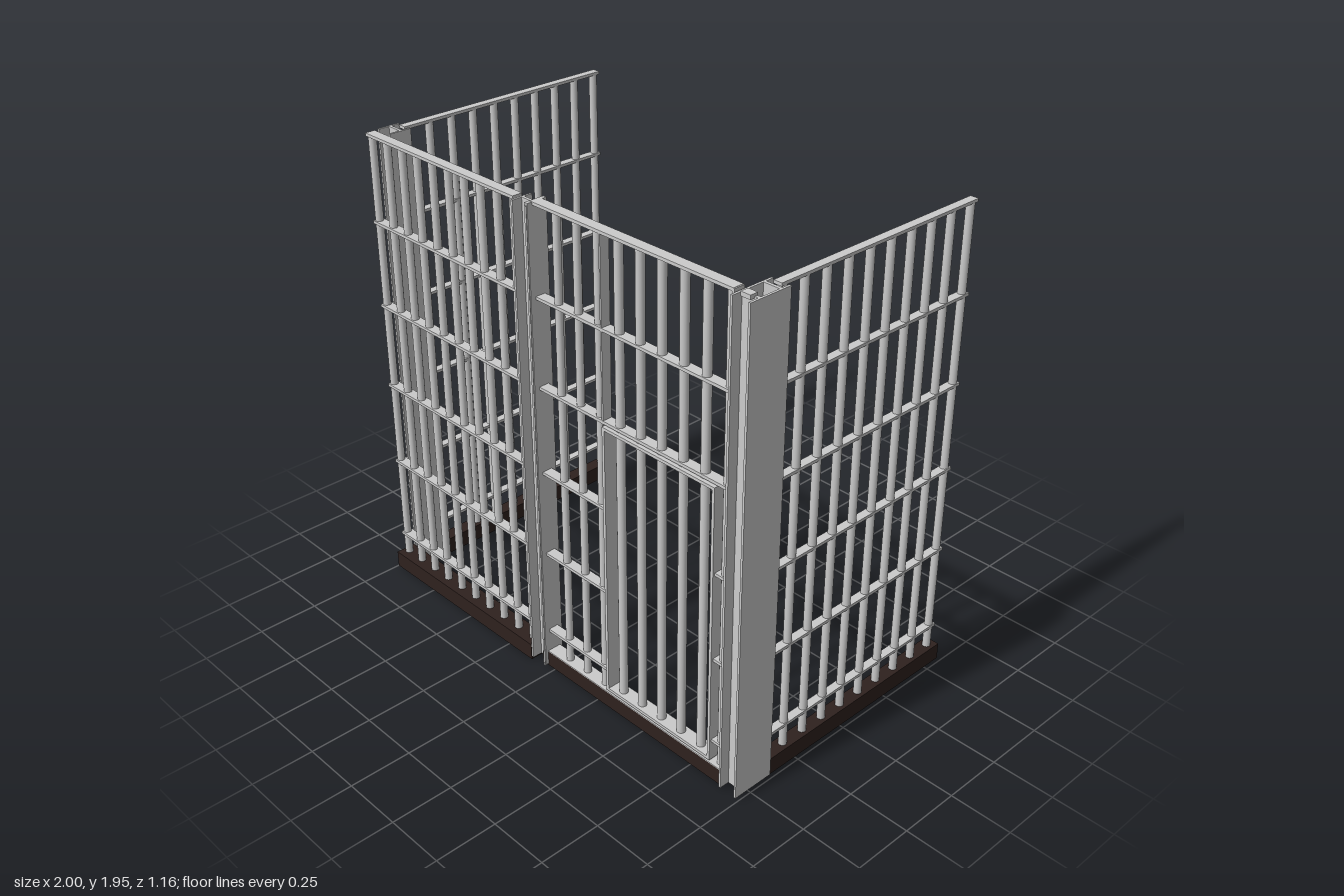
import * as THREE from 'three';

const steel = new THREE.MeshStandardMaterial({ color: 0xcccccc });
const darkBase = new THREE.MeshStandardMaterial({ color: 0x2e211e });

// Box given by its min and max on each axis
function box(parent, name, [x0, x1], [y0, y1], [z0, z1], material = steel) {
  const mesh = new THREE.Mesh(new THREE.BoxGeometry(x1 - x0, y1 - y0, z1 - z0), material);
  mesh.position.set((x0 + x1) / 2, (y0 + y1) / 2, (z0 + z1) / 2);
  mesh.name = name;
  parent.add(mesh);
}

// Upright round bar
function bar(parent, x, y0, y1, r = 0.016) {
  const mesh = new THREE.Mesh(new THREE.CylinderGeometry(r, r, y1 - y0, 14), steel);
  mesh.position.set(x, (y0 + y1) / 2, 0);
  mesh.name = 'bar';
  parent.add(mesh);
}

// Flat cross rail with a given centre height
function rail(parent, x0, x1, y, depth) {
  box(parent, 'rail', [x0, x1], [y - 0.006, y + 0.006], [-depth / 2, depth / 2]);
}

const railHeights = [0.167, 0.522, 0.877, 1.23, 1.583];

// Fixed barred panel running along its local x axis
function barredPanel(name, { base, baseDepth, rails, bars, depth }) {
  const panel = new THREE.Group();
  panel.name = name;
  box(panel, 'base', base, [0, 0.07], [-baseDepth / 2, baseDepth / 2], darkBase);
  const [first, last] = bars;
  for (let i = 0; i < 10; i++) bar(panel, first + (last - first) * i / 9, 0.07, 1.93);
  for (const y of [...railHeights, 1.932]) rail(panel, rails[0], rails[1], y, depth);
  return panel;
}

// Panel with a framed door in it
function doorPanel() {
  const panel = new THREE.Group();
  panel.name = 'doorPanel';
  const lift = 0.008;
  box(panel, 'base', [-0.06, 0.91], [0.012, 0.077], [-0.03, 0.03], darkBase);
  box(panel, 'baseCap', [-0.06, 0.91], [0.077, 0.081], [-0.03, 0.03]);
  for (let i = 0; i < 9; i++) {
    const x = 0.071 + i * 0.1015;
    const inDoor = x > 0.32 && x < 0.84;
    bar(panel, x, 0.08, 1.94, inDoor ? 0.017 : 0.015);
  }
  // Upright edge strips and top
  box(panel, 'edgeStrip', [-0.042, -0.026], [0.02, 1.945], [-0.042, 0.042]);
  box(panel, 'edgeStrip', [0.9, 0.91], [0.08, 1.945], [-0.022, 0.022]);
  box(panel, 'topRail', [-0.04, 0.905], [1.934, 1.946], [-0.022, 0.022]);
  // Lower rails stop at the doorway
  railHeights.forEach((y, i) => {
    if (i >= 3) rail(panel, -0.026, 0.905, y + lift, 0.042);
    else {
      rail(panel, -0.026, 0.31, y + lift, 0.042);
      rail(panel, 0.85, 0.905, y + lift, 0.042);
    }
  });
  box(panel, 'doorStrip', [0.302, 0.309], [0.08, 1.94], [-0.02, 0.02]);

  const door = new THREE.Group();
  door.name = 'doorFrame';
  for (const x of [0.312, 0.84]) box(door, 'doorSide', [x, x + 0.012], [0.09, 1.226], [-0.03, 0.03]);
  for (const y of [0.09, 1.214]) box(door, 'doorCross', [0.324, 0.84], [y, y + 0.012], [-0.03, 0.03]);
  panel.add(door);
  return panel;
}

// H-section post: two flanges joined by webs
function post(name, x0, x1, z, y, webs) {
  const group = new THREE.Group();
  group.name = name;
  const t = 0.009;
  box(group, 'flange', [x0, x0 + t], y, z);
  box(group, 'flange', [x1 - t, x1], y, z);
  for (const w of webs) box(group, 'web', [x0 + t, x1 - t], y, [w - 0.006, w + 0.006]);
  return group;
}

export function createModel() {
  const model = new THREE.Group();
  model.name = 'barredEnclosure';

  // Side panels, turned so local x runs towards the back
  for (const [name, x] of [['leftPanel', 0.953], ['rightPanel', -0.955]]) {
    const side = barredPanel(name, {
      base: [-0.42, 0.583], baseDepth: 0.06, rails: [-0.41, 0.565], bars: [-0.39, 0.545], depth: 0.034,
    });
    side.rotation.y = Math.PI / 2;
    side.position.x = x;
    model.add(side);
  }

  // Fixed front panel
  const front = barredPanel('frontPanel', {
    base: [-1, -0.112], baseDepth: 0.085, rails: [-0.985, -0.125], bars: [-0.972, -0.147], depth: 0.042,
  });
  front.position.z = 0.533;
  model.add(front);

  // Front panel with door
  const door = doorPanel();
  door.position.z = 0.53;
  model.add(door);

  // Posts at the joints
  model.add(post('rightCornerPost', -0.998, -0.917, [0.397, 0.49], [0.015, 1.935], [0.438]));
  model.add(post('middlePost', -0.11, -0.03, [0.488, 0.575], [0.015, 1.936], [0.528]));
  model.add(post('leftCornerPost', 0.915, 0.998, [0.397, 0.575], [0.018, 1.936], [0.435, 0.528]));
  box(model, 'postClip', [0.935, 0.975], [1.93, 1.946], [0.52, 0.552]);
  return model;
}
